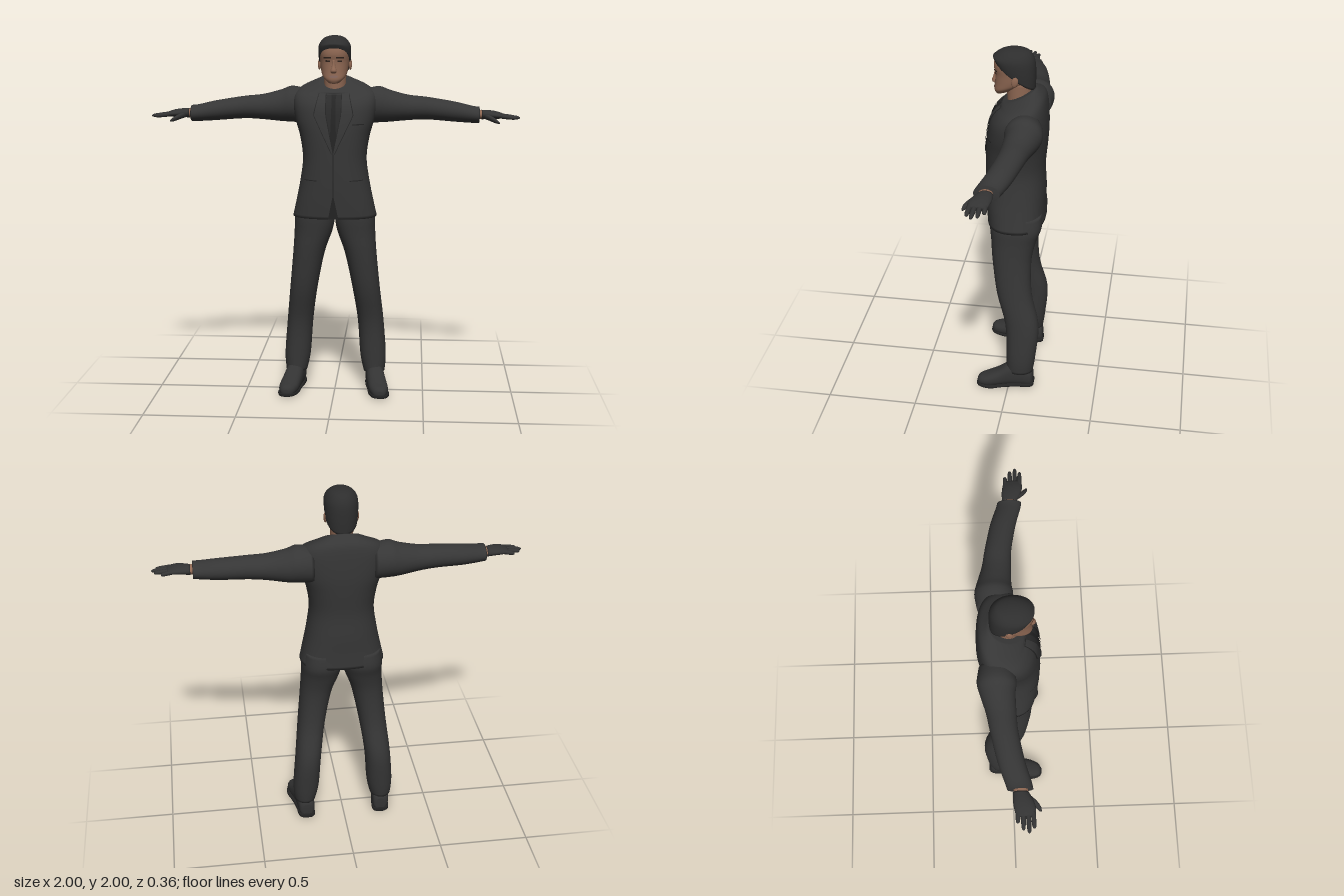
import * as THREE from 'three';

const mat = (name, color, double) => {
  const m = new THREE.MeshStandardMaterial({ color });
  m.name = name;
  if (double) m.side = THREE.DoubleSide;
  return m;
};

// Smooth curve through four numbers
const spline = (a, b, c, d, t) =>
  b + 0.5 * t * (c - a + t * (2 * a - 5 * b + 4 * c - d + t * (3 * (b - c) + d - a)));

// Superellipse rings along an axis: [cx, cy, cz, halfA, halfB, exponent, tilt]
function loft(axis, raw, seg = 32, sub = 4) {
  const secs = raw.map(s => [...s.slice(0, 5), s[5] ?? 2, s[6] ?? 0]);
  const at = i => secs[Math.min(Math.max(i, 0), secs.length - 1)];
  const rings = [];
  for (let i = 0; i < secs.length - 1; i++)
    for (let k = 0; k < sub; k++)
      rings.push(at(i).map((v, j) => spline(at(i - 1)[j], v, at(i + 1)[j], at(i + 2)[j], k / sub)));
  rings.push(secs[secs.length - 1]);
  const pos = [], idx = [];
  for (const [cx, cy, cz, a, b, p, tilt] of rings)
    for (let j = 0; j < seg; j++) {
      const t = (j / seg) * Math.PI * 2;
      const pw = v => Math.sign(v) * Math.abs(v) ** (2 / p);
      const c = pw(Math.cos(t)), s = pw(Math.sin(t));
      if (axis === 'y') pos.push(cx + a * s, cy - tilt * b * c, cz + b * c);
      else if (axis === 'x') pos.push(cx, cy + a * c, cz + b * s);
      else pos.push(cx + a * c, cy + b * s, cz);
    }
  for (let i = 0; i < rings.length - 1; i++)
    for (let j = 0; j < seg; j++) {
      const a = i * seg + j, b = i * seg + (j + 1) % seg;
      idx.push(a, b, b + seg, a, b + seg, a + seg);
    }
  // End caps
  const first = pos.length / 3, last = (rings.length - 1) * seg;
  pos.push(...rings[0].slice(0, 3), ...rings[rings.length - 1].slice(0, 3));
  for (let j = 0; j < seg; j++) {
    const n = (j + 1) % seg;
    idx.push(first, n, j, first + 1, last + j, last + n);
  }
  return surface(pos, idx);
}

function surface(pos, idx) {
  const g = new THREE.BufferGeometry();
  g.setAttribute('position', new THREE.Float32BufferAttribute(pos, 3));
  g.setIndex(idx);
  g.computeVertexNormals();
  return g;
}

function mirrored(geo) {
  const g = geo.clone().scale(-1, 1, 1);
  const ix = g.index.array;
  for (let i = 0; i < ix.length; i += 3) [ix[i], ix[i + 1]] = [ix[i + 1], ix[i]];
  return g;
}

// Thin sheet laid over the front of a mesh; rows run downward: [y, xLeft, xRight]
function drape(target, rows, lift, nx = 5, ny = 5) {
  const ray = new THREE.Raycaster(), dir = new THREE.Vector3(0, 0, -1);
  const pos = [], idx = [];
  let z = 0.1;
  const put = (x, y) => {
    ray.set(new THREE.Vector3(x, y, 2), dir);
    const hit = ray.intersectObject(target)[0];
    if (hit) z = hit.point.z;
    pos.push(x, y, z + lift);
  };
  const lines = [];
  for (let r = 0; r < rows.length - 1; r++)
    for (let k = r ? 1 : 0; k <= ny; k++)
      lines.push(rows[r].map((v, j) => THREE.MathUtils.lerp(v, rows[r + 1][j], k / ny)));
  lines.forEach(([y, x0, x1]) => {
    for (let i = 0; i <= nx; i++) put(THREE.MathUtils.lerp(x0, x1, i / nx), y);
  });
  for (let r = 0; r < lines.length - 1; r++)
    for (let i = 0; i < nx; i++) {
      const a = r * (nx + 1) + i, b = a + nx + 1;
      idx.push(a, b, b + 1, a, b + 1, a + 1);
    }
  return surface(pos, idx);
}

export function createModel() {
  const root = new THREE.Group();
  root.name = 'manInSuit';
  const suit = mat('suit', 0x363636, true), seam = mat('seam', 0x242424, true);
  const shirt = mat('shirt', 0x2b2b2b, true), leather = mat('leather', 0x333333);
  const hairMat = mat('hair', 0x2e2e2e), skin = mat('skin', 0x8f6853, true);
  const lips = mat('lips', 0x87685f, true), eyeMat = mat('eyes', 0x33261f, true);

  const add = (name, geo, m) => {
    const mesh = new THREE.Mesh(geo, m);
    mesh.name = name;
    root.add(mesh);
    return mesh;
  };
  const pair = (name, geo, m) => {
    add('left' + name, geo, m);
    add('right' + name, mirrored(geo), m);
  };

  // Jacket body, flared at the hem and sloping up to the collar
  const jacket = add('jacket', loft('y', [
    [0, 1.01, -.015, .232, .158, 2.5], [0, 1.1, -.01, .212, .16, 2.5],
    [0, 1.2, -.008, .192, .163, 2.4], [0, 1.33, -.005, .175, .16, 2.4],
    [0, 1.45, -.012, .19, .163, 2.4], [0, 1.54, -.02, .215, .16, 2.5],
    [0, 1.62, -.028, .228, .15, 2.5], [0, 1.68, -.04, .222, .132, 2.4, .1],
    [0, 1.715, -.045, .185, .115, 2.3, .25], [0, 1.735, -.03, .12, .1, 2.2, .42],
    [0, 1.745, -.025, .085, .09, 2, .5]], 48), suit);

  // Shirt opening, tie, lapels, closure and pockets
  add('shirtFront', drape(jacket, [[1.685, -.05, .05], [1.58, -.045, .045], [1.37, -.003, .003]], .002), shirt);
  add('tie', drape(jacket, [[1.685, -.014, .014], [1.65, -.01, .01], [1.45, -.016, .016], [1.39, -.004, .004]], .004), seam);
  pair('LapelEdge', drape(jacket, [[1.69, .04, .083], [1.6, .04, .105], [1.575, .038, .108], [1.37, -.002, .01]], .004), seam);
  pair('Lapel', drape(jacket, [[1.69, .044, .08], [1.6, .044, .1], [1.575, .042, .104], [1.37, .001, .006]], .008), suit);
  add('closure', drape(jacket, [[1.37, -.002, .002], [1.14, -.002, .002], [1.012, -.028, .028]], .003), seam);
  pair('HipPocket', drape(jacket, [[1.225, .09, .16], [1.22, .09, .16]], .004), seam);
  add('chestPocket', drape(jacket, [[1.53, .1, .165], [1.524, .1, .165]], .004), seam);

  // Sleeves
  pair('Sleeve', loft('x', [
    [.16, 1.61, -.08, .095, .088], [.24, 1.62, -.08, .1, .1], [.3, 1.612, -.077, .088, .09],
    [.4, 1.605, -.062, .07, .076], [.5, 1.603, -.05, .062, .07], [.65, 1.588, -.02, .055, .068],
    [.75, 1.576, .01, .046, .066], [.785, 1.575, .018, .044, .064]]), suit);

  // Wrists and gloved hands
  pair('Wrist', loft('x', [[.77, 1.577, .02, .026, .036], [.805, 1.577, .021, .024, .036]], 20), skin);
  pair('Glove', loft('x', [
    [.797, 1.576, .02, .026, .038], [.84, 1.577, .03, .024, .05],
    [.88, 1.575, .038, .02, .053], [.918, 1.571, .04, .011, .047]], 20), leather);
  [[.95, 0], [.985, .027], [1, .055], [.978, .08]].forEach(([tip, z], i) => {
    const base = .89, z0 = .004 + i * .024;
    const f = [[0, .012], [.55, .0115], [.9, .009], [1, .003]].map(([t, r]) =>
      [base + (tip - base) * t, 1.573 - .01 * t, z0 + (z - z0) * t, r, r * 1.05]);
    pair('Finger' + (i + 1), loft('x', f, 10, 3), leather);
  });
  pair('Thumb', loft('x', [
    [.81, 1.572, .045, .016, .016], [.84, 1.562, .078, .015, .018],
    [.87, 1.549, .103, .012, .014], [.89, 1.54, .114, .004, .005]], 12), leather);

  // Trousers
  pair('TrouserLeg', loft('y', [
    [.222, .1, -.06, .06, .076], [.215, .2, -.067, .073, .083, 2.2], [.2, .4, -.07, .073, .094, 2.2],
    [.175, .6, -.022, .077, .097, 2.2], [.145, .8, -.005, .088, .108, 2.2],
    [.12, .92, -.012, .105, .125, 2.3], [.112, 1, -.022, .111, .142, 2.4], [.11, 1.08, -.02, .1, .14, 2.4]]), suit);

  // Shoes with flat soles, toes turned slightly out
  pair('Shoe', loft('z', [
    [.215, .05, -.138, .025, .036, 2.6], [.218, .06, -.122, .044, .055, 2.6],
    [.222, .076, -.06, .05, .072, 2.6], [.23, .074, 0, .051, .069, 2.5],
    [.242, .055, .06, .054, .05, 2.4], [.253, .042, .12, .053, .036, 2.4],
    [.259, .035, .163, .037, .028, 2.3], [.262, .03, .178, .014, .016]], 28), leather);
  pair('Sole', loft('z', [
    [.215, .013, -.142, .03, .013, 4], [.218, .013, -.12, .048, .013, 4], [.224, .013, -.05, .05, .013, 4],
    [.24, .012, .03, .053, .008, 4], [.254, .011, .1, .059, .011, 4],
    [.26, .013, .16, .043, .011, 4], [.263, .015, .182, .016, .009, 4]], 24), seam);

  // Neck and shirt collar
  add('neck', loft('y', [[0, 1.64, -.03, .062, .07], [0, 1.72, -.025, .06, .066], [0, 1.82, -.025, .062, .07]]), skin);
  add('shirtCollar', loft('y', [[0, 1.695, -.02, .08, .085, 2, .5], [0, 1.742, -.026, .068, .074, 2, .5]]), shirt);

  // Head with a tilted jaw line
  const head = add('head', loft('y', [
    [0, 1.758, .05, .036, .048, 2.3, .3], [0, 1.788, .03, .063, .078, 2.3, .3],
    [0, 1.82, .01, .074, .095, 2.2, .15], [0, 1.86, .003, .079, .1, 2.2],
    [0, 1.9, .005, .082, .106, 2.2], [0, 1.94, .004, .08, .1, 2.1],
    [0, 1.975, .003, .058, .076], [0, 1.988, 0, .025, .035]], 40), skin);
  add('nose', loft('y', [
    [0, 1.8, .101, .012, .009], [0, 1.812, .107, .017, .016],
    [0, 1.84, .1, .01, .014], [0, 1.872, .097, .008, .01]], 16), skin);
  pair('Ear', new THREE.SphereGeometry(1, 14, 12).scale(.009, .03, .018).rotateX(-.2).translate(.084, 1.842, -.01), skin);
  pair('Eye', drape(head, [[1.869, .02, .044], [1.86, .02, .044]], .002), eyeMat);
  pair('Brow', drape(head, [[1.887, .014, .056], [1.879, .014, .056]], .003), eyeMat);
  add('mouth', drape(head, [[1.789, -.014, .014], [1.782, -.024, .024], [1.775, -.014, .014]], .003), lips);

  // Short hair, high at the forehead and low at the nape
  add('hair', loft('y', [
    [0, 1.855, -.001, .085, .107, 2.2, -.72], [0, 1.9, .002, .089, .112, 2.2, -.45],
    [0, 1.945, .003, .086, .108, 2.1, -.12], [0, 1.978, .002, .066, .084], [0, 1.993, 0, .04, .052],
    [0, 1.999, 0, .012, .016]], 40), hairMat);

  return root;
}
